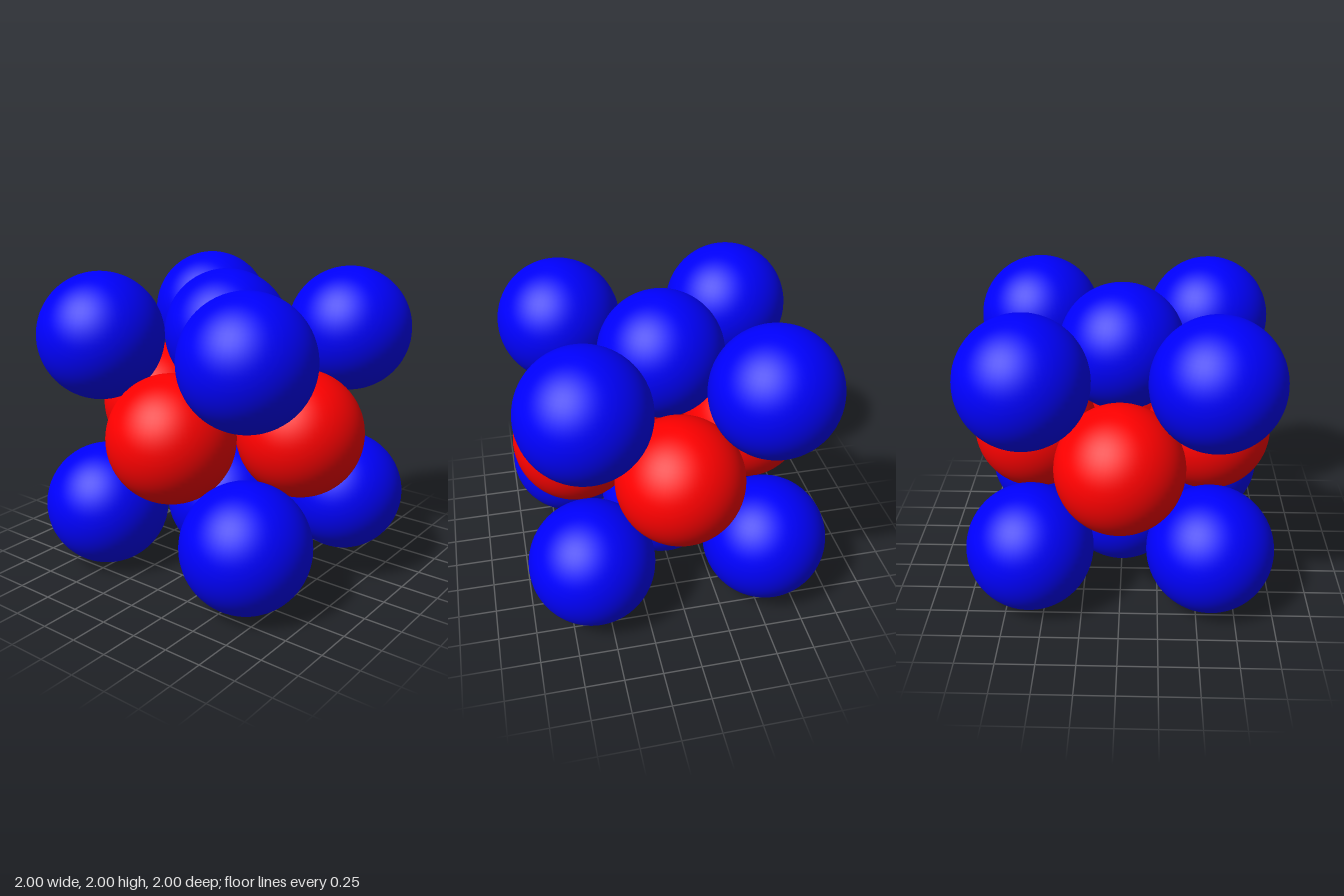
import * as THREE from 'three';

// Face-centred cubic cell of touching spheres
export function createModel() {
  const model = new THREE.Group();
  model.name = 'faceCentredCubicCell';

  const radius = Math.SQRT2 - 1; // neighbours touch along each face diagonal
  const half = 1 - radius; // half the cell edge
  const sphere = new THREE.SphereGeometry(radius, 64, 40);
  const blue = new THREE.MeshStandardMaterial({ color: 0x0000ff });
  const red = new THREE.MeshStandardMaterial({ color: 0xff0000 });

  function addAtom(name, material, x, y, z) {
    const atom = new THREE.Mesh(sphere, material);
    atom.name = name;
    atom.position.set(x * half, 1 + y * half, z * half);
    model.add(atom);
  }

  // Corner atoms
  for (const [y, level] of [[-1, 'bottom'], [1, 'top']])
    for (const [z, depth] of [[-1, 'Back'], [1, 'Front']])
      for (const [x, side] of [[-1, 'Right'], [1, 'Left']])
        addAtom(`${level}${depth}${side}CornerAtom`, blue, x, y, z);

  // Atoms centred on the top and bottom faces
  addAtom('topFaceAtom', blue, 0, 1, 0);
  addAtom('bottomFaceAtom', blue, 0, -1, 0);

  // Atoms centred on the four side faces
  addAtom('frontFaceAtom', red, 0, 0, 1);
  addAtom('backFaceAtom', red, 0, 0, -1);
  addAtom('leftFaceAtom', red, 1, 0, 0);
  addAtom('rightFaceAtom', red, -1, 0, 0);

  return model;
}
